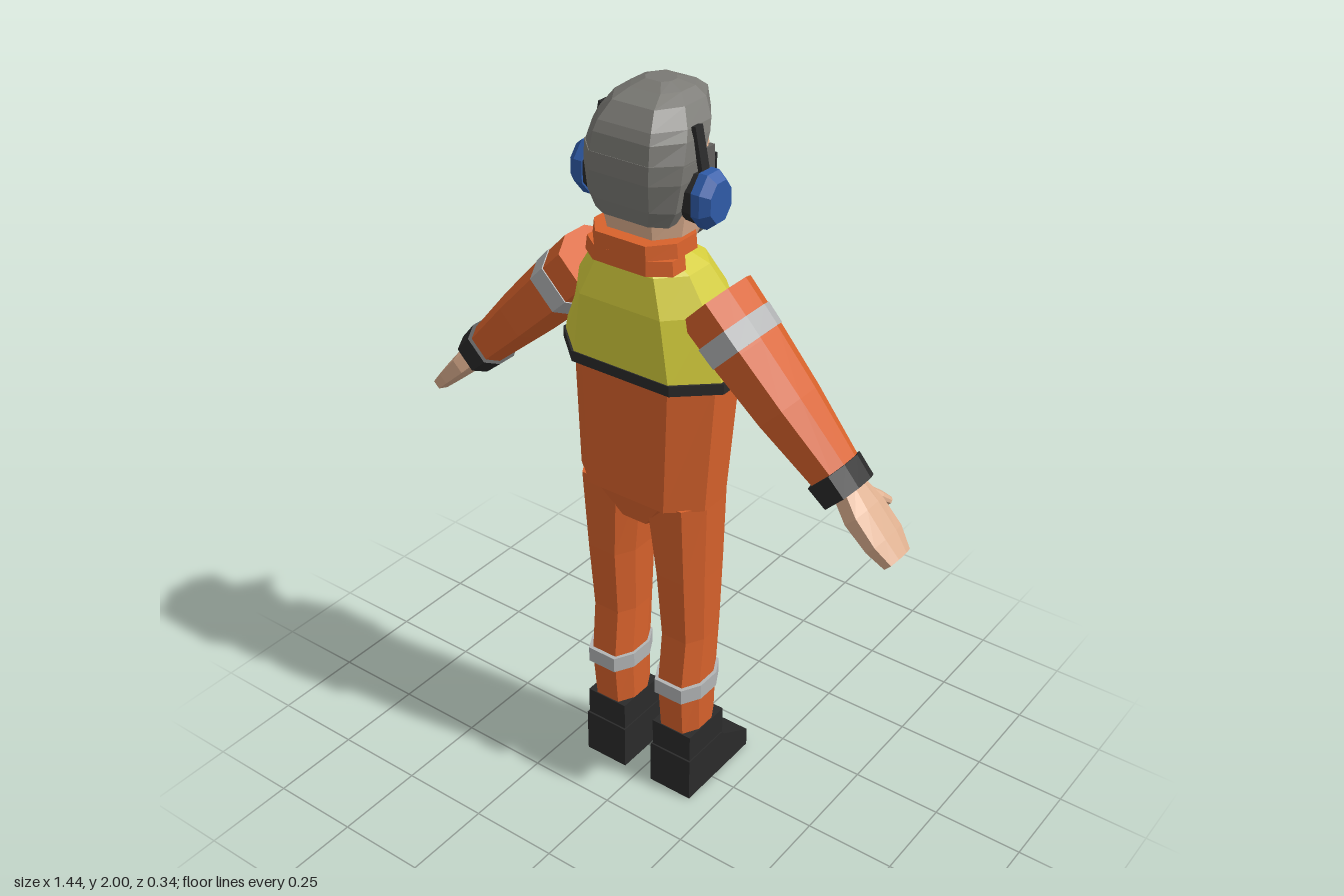
import * as THREE from 'three';

const mat = (name, color) => {
  const m = new THREE.MeshStandardMaterial({ color, flatShading: true });
  m.name = name;
  return m;
};

// Octagon corners as fractions of half width and half depth
const OCT = [[1, -.4], [.6, -1], [-.6, -1], [-1, -.4], [-1, .4], [-.6, 1], [.6, 1], [1, .4]];

// Closed octagonal loft; each section is [y, centreX, halfWidth, zMin, zMax], y rising
function loft(sections) {
  const pos = [];
  const rings = sections.map(([y, cx, hx, z0, z1]) =>
    OCT.map(([u, v]) => [cx + u * hx, y, (z0 + z1) / 2 + v * (z1 - z0) / 2]));
  const n = OCT.length;
  for (let r = 0; r < rings.length - 1; r++) {
    for (let i = 0; i < n; i++) {
      const j = (i + 1) % n, a = rings[r], b = rings[r + 1];
      pos.push(...a[i], ...a[j], ...b[j], ...a[i], ...b[j], ...b[i]);
    }
  }
  const lo = rings[0], hi = rings[rings.length - 1];
  for (let i = 1; i < n - 1; i++) {
    pos.push(...hi[0], ...hi[i], ...hi[i + 1], ...lo[0], ...lo[i + 1], ...lo[i]);
  }
  const g = new THREE.BufferGeometry();
  g.setAttribute('position', new THREE.Float32BufferAttribute(pos, 3));
  g.computeVertexNormals();
  return g;
}

export function createModel() {
  const root = new THREE.Group();
  root.name = 'worker';
  const orange = mat('orange cloth', 0xd8622c), yellow = mat('vest yellow', 0xd3cc3c);
  const black = mat('black', 0x2a2a2a), silver = mat('reflective grey', 0xb2b4b5);
  const hairMat = mat('hair grey', 0x7a7974), skin = mat('skin', 0xdcae8e);
  const blue = mat('ear cup blue', 0x2f5ba8), beardMat = mat('beard grey', 0x62605d);
  const white = mat('eye white', 0xe8e8e4);

  const add = (name, geo, material, parent = root) => {
    const m = new THREE.Mesh(geo, material);
    m.name = name;
    parent.add(m);
    return m;
  };
  const box = (name, material, w, h, d, x, y, z, parent = root) => {
    const m = add(name, new THREE.BoxGeometry(w, h, d), material, parent);
    m.position.set(x, y, z);
    return m;
  };

  // Torso
  add('torso', loft([[.95, 0, .195, -.075, .15], [1.31, 0, .215, -.105, .15]]), orange);
  add('crotch', loft([[.865, 0, .06, -.045, .115], [.955, 0, .17, -.068, .14]]), orange);
  add('vest', loft([[1.315, 0, .238, -.118, .165], [1.49, 0, .197, -.103, .165],
    [1.58, 0, .142, -.06, .145], [1.605, 0, .1, -.03, .13]]), yellow);
  add('waistband', loft([[1.3, 0, .243, -.123, .168], [1.328, 0, .243, -.123, .168]]), black);
  box('buckle', silver, .045, .026, .006, 0, 1.314, -.125);

  // Zip follows the two front slopes of the vest
  [[1.34, -.117, 1.49, -.104], [1.49, -.104, 1.57, -.066]].forEach(([y0, z0, y1, z1]) => {
    const zip = box('zip', black, .009, Math.hypot(y1 - y0, z1 - z0), .008, 0, (y0 + y1) / 2, (z0 + z1) / 2);
    zip.rotation.x = Math.atan2(z1 - z0, y1 - y0);
  });

  // Collar, high at the back and open below the chin
  add('collar', loft([[1.625, 0, .124, -.03, .16], [1.662, 0, .12, -.03, .158]]), orange);
  add('collarBack', loft([[1.59, 0, .128, .04, .163], [1.626, 0, .124, .04, .16]]), orange);
  add('undershirt', loft([[1.57, 0, .09, -.035, .1], [1.63, 0, .09, -.03, .1]]), black);

  // Legs and boots
  for (const s of [1, -1]) {
    const leg = new THREE.Group();
    leg.name = s > 0 ? 'leftLeg' : 'rightLeg';
    root.add(leg);
    add('trouserLeg', loft([[.2, s * .11, .06, -.045, .1], [.36, s * .111, .063, -.047, .113],
      [.52, s * .112, .064, -.058, .096], [.72, s * .111, .071, -.064, .112],
      [.955, s * .102, .09, -.07, .128]]), orange, leg);
    add('legStripe', loft([[.335, s * .112, .072, -.052, .122], [.38, s * .112, .072, -.052, .122]]), silver, leg);
    box('bootShaft', black, .125, .1, .155, s * .111, .163, .027, leg);
    const side = new THREE.Shape([[-.11, 0], [.17, 0], [.17, .055], [.055, .12], [.045, .132], [-.11, .132]]
      .map(p => new THREE.Vector2(...p)));
    const boot = add('boot', new THREE.ExtrudeGeometry(side, { depth: .132, bevelEnabled: false }), black, leg);
    boot.rotation.y = Math.PI / 2;
    boot.position.x = s * .111 - .066;
  }

  // Arms: local y runs from shoulder to fingertips
  for (const s of [1, -1]) {
    const arm = new THREE.Group();
    arm.name = s > 0 ? 'leftArm' : 'rightArm';
    arm.position.set(s * .18, 1.512, 0);
    arm.rotation.z = -s * 2.346;
    root.add(arm);
    add('sleeve', loft([[0, 0, .083, -.06, .122], [.14, 0, .079, -.055, .12],
      [.3, 0, .07, -.046, .112], [.5, 0, .053, -.028, .09]]), orange, arm);
    add('sleeveStripe', loft([[.075, 0, .083, -.06, .124], [.132, 0, .081, -.058, .123]]), silver, arm);
    add('cuff', loft([[.482, 0, .062, -.035, .103], [.545, 0, .056, -.033, .1]]), black, arm);
    add('hand', loft([[.54, 0, .033, -.015, .07], [.6, 0, .033, -.03, .09],
      [.68, 0, .026, -.032, .09], [.737, 0, .02, -.012, .075]]), skin, arm);
    const thumb = add('thumb', loft([[0, 0, .017, -.016, .016], [.055, 0, .015, -.013, .013],
      [.085, 0, .01, -.009, .009]]), skin, arm);
    thumb.position.set(0, .56, -.005);
    thumb.rotation.x = -.75;
  }

  // Head
  const head = new THREE.Group();
  head.name = 'head';
  root.add(head);
  add('face', loft([[1.6, 0, .09, -.02, .11], [1.66, 0, .108, -.062, .122], [1.73, 0, .12, -.083, .135],
    [1.85, 0, .124, -.083, .14], [1.93, 0, .1, -.07, .12]]), skin, head);
  add('nose', loft([[1.735, 0, .02, -.106, -.07], [1.75, 0, .016, -.106, -.07],
    [1.8, 0, .009, -.088, -.07]]), skin, head);

  // Hair: swept cap with a forward fringe, and a lower back
  add('hairTop', loft([[1.85, 0, .14, -.025, .16], [1.9, 0, .132, -.072, .15], [1.925, 0, .124, -.088, .138],
    [1.965, 0, .098, -.098, .105], [1.985, 0, .07, -.075, .06], [2, 0, .036, -.03, .03]]), hairMat, head);
  add('hairBack', loft([[1.7, 0, .105, .06, .137], [1.74, 0, .126, .04, .148],
    [1.81, 0, .138, .0, .161], [1.856, 0, .14, -.02, .16]]), hairMat, head);

  // Beard and moustache
  add('beard', loft([[1.618, 0, .07, -.072, .0], [1.645, 0, .1, -.082, .01], [1.7, 0, .121, -.089, .012]]), beardMat, head);
  box('mouth', skin, .06, .012, .006, 0, 1.69, -.088, head);
  for (const s of [1, -1]) {
    const brush = box('moustache', beardMat, .055, .018, .014, s * .025, 1.715, -.086, head);
    brush.rotation.z = -s * .25;
    box('sideburn', beardMat, .014, .17, .035, s * .12, 1.775, -.015, head);
    box('cheekBeard', beardMat, .03, .035, .012, s * .062, 1.708, -.08, head);

    // Eyes and brows
    box('eye', white, .034, .018, .006, s * .045, 1.782, -.084, head);
    box('pupil', black, .014, .017, .006, s * .045, 1.782, -.0865, head);
    box('eyebrow', beardMat, .05, .011, .008, s * .045, 1.822, -.085, head);

    // Glasses
    for (const e of [1, -1]) {
      box('glassesRim', black, .066, .005, .005, s * .046, 1.78 + e * .022, -.105, head);
      box('glassesRim', black, .005, .049, .005, s * .046 + e * .033, 1.78, -.105, head);
    }
    const temple = box('glassesTemple', black, .005, .005, .125, s * .103, 1.795, -.045, head);
    temple.rotation.y = s * .38;

    // Ear defenders
    const cup = (name, material, r0, r1, x0, x1) => {
      const g = new THREE.CylinderGeometry(r1, r0, x1 - x0, 8);
      g.rotateY(Math.PI / 8).rotateZ(-s * Math.PI / 2).scale(1, 1, .84);
      add(name, g, material, head).position.set(s * (x0 + x1) / 2, 1.765, .045);
    };
    cup('earPad', black, .062, .066, .115, .157);
    cup('earCup', blue, .071, .071, .155, .178);
    cup('earCupOuter', blue, .071, .052, .178, .2);
    const strap = box('headband', black, .012, .13, .028, s * .143, 1.865, .043, head);
    strap.rotation.z = s * .2;
  }
  box('glassesBridge', black, .026, .005, .005, 0, 1.79, -.105, head);

  return root;
}
